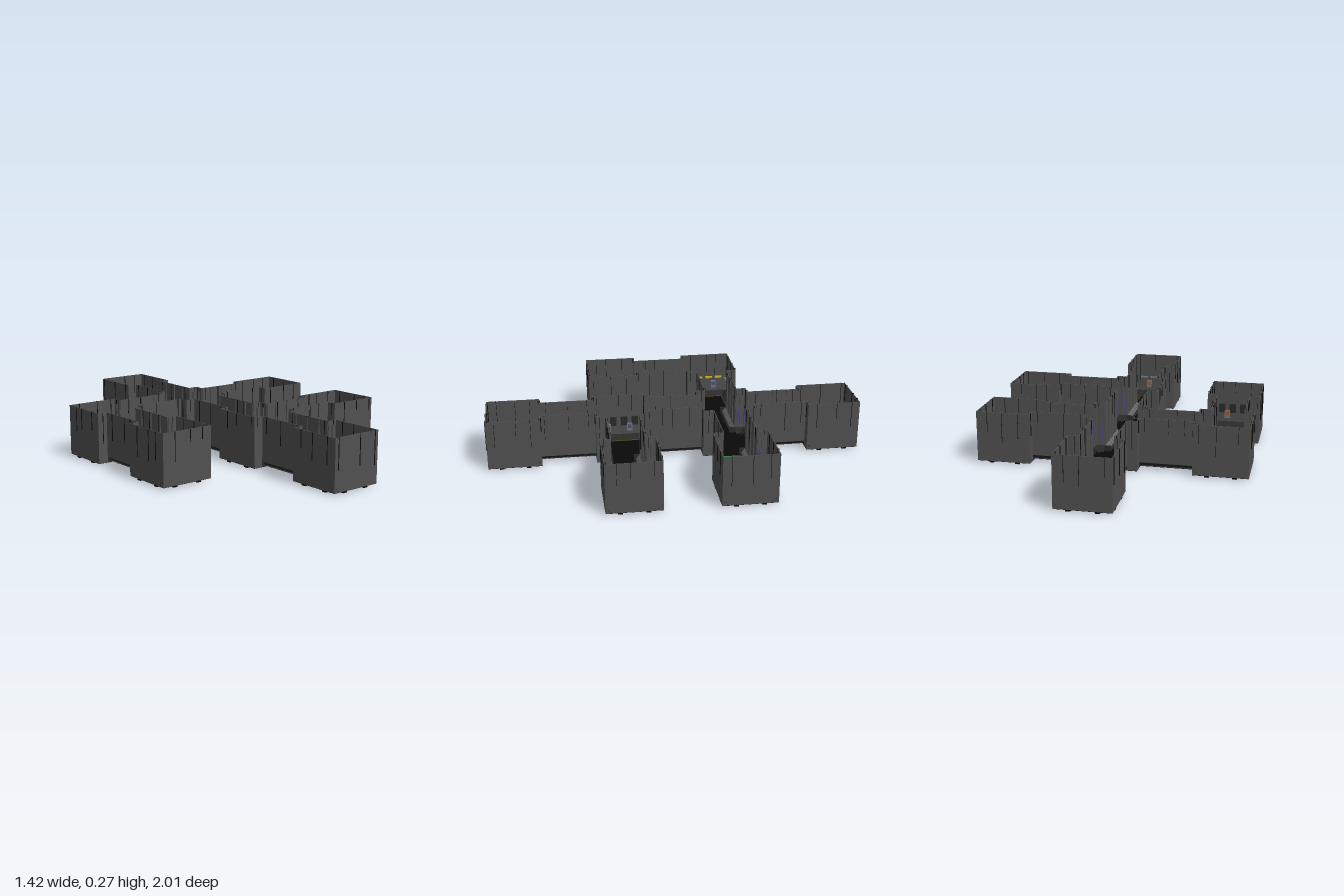
import * as THREE from 'three';

const mat = (color) => new THREE.MeshStandardMaterial({ color, side: THREE.DoubleSide, flatShading: true });
const M = {
  wall: mat(0x505050), floor: mat(0x090909), skirt: mat(0x2a2a2a), grate: mat(0x6a6a6a),
  black: mat(0x0c0c0c), yellow: mat(0xc9a21a), green: mat(0x2f8a48), steel: mat(0x6f7a74),
  violet: mat(0x4a4a88), orange: mat(0xa8562a), trim: mat(0x6b5518),
};
const HALF = 0.142;      // room half width
const HALL = 0.09;       // corridor half width at the walls
const HALL_FLOOR = 0.056;
const FLOOR_Y = 0.01, SKIRT_Y = 0.04, TOP = 0.275;
const PX = 0.564, P1 = 0.286, P2 = 0.858;   // room centres

let seed = 7;
const rand = () => (seed = (seed * 16807) % 2147483647) / 2147483647;

function box(parent, name, material, w, h, d, x, y, z) {
  const m = new THREE.Mesh(new THREE.BoxGeometry(w, h, d), material);
  m.name = name;
  m.position.set(x, y, z);
  parent.add(m);
  return m;
}

// thin plate leaning from the foot of a wall in to the floor
function slope(parent, name, material, w, x, zTop, zFoot, lift = 0) {
  const dz = zTop - zFoot, dy = SKIRT_Y - FLOOR_Y;
  const m = box(parent, name, material, w, 0.002, Math.hypot(dz, dy), x, (SKIRT_Y + FLOOR_Y) / 2 + lift, (zTop + zFoot) / 2);
  m.rotation.x = -Math.atan2(dy, dz);
}

// narrow fins hanging from the wall top, standing off both faces
function fins(parent, count, x0, x1, z) {
  for (let i = 0; i < count; i++) {
    const h = 0.05 + rand() * 0.12;
    const x = x0 + (x1 - x0) * (i + 0.2 + 0.6 * rand()) / count;
    box(parent, 'wallFin', M.black, 0.0016, h, 0.012, x, TOP - h / 2, z);
  }
}

// one side of a room; local +z points outwards
function roomSide(room, k, door, rail) {
  const side = new THREE.Group();
  side.name = door ? 'doorSide' : 'closedSide';
  side.rotation.y = k * Math.PI / 2;
  room.add(side);
  const pieces = door ? [[-HALF, -HALL], [HALL, HALF]] : [[-HALF, HALF]];
  for (const [a, b] of pieces) {
    const w = b - a, x = (a + b) / 2;
    box(side, 'roomWall', M.wall, w, TOP - FLOOR_Y, 0.004, x, (TOP + FLOOR_Y) / 2, HALF - 0.002);
    slope(side, 'roomSkirt', M.skirt, w, x, HALF - 0.004, 0.11);
    fins(side, door ? 1 : 3, a, b, HALF - 0.002);
  }
  if (door) {
    // jambs and pipes beside the opening
    for (const s of [-1, 1]) {
      box(side, 'doorJamb', M.skirt, HALL - HALL_FLOOR, SKIRT_Y - FLOOR_Y, 0.012, s * (HALL + HALL_FLOOR) / 2, (SKIRT_Y + FLOOR_Y) / 2, HALF - 0.006);
      box(side, 'doorPipe', M.violet, 0.006, 0.09, 0.006, s * 0.104, 0.12, HALF - 0.008);
      box(side, 'doorPlate', M.wall, 0.012, 0.2, 0.006, s * 0.116, 0.15, HALF - 0.007);
    }
    return;
  }
  box(side, 'floorStripe', M.trim, 0.22, 0.002, 0.003, 0, FLOOR_Y + 0.002, 0.108);
  // broken rail and wall equipment
  for (let i = 0; i < 4; i++) {
    const x = -0.09 + i * 0.06;
    if (rail) box(side, 'wallRail', rail, 0.042, 0.008, 0.016, x, 0.13, HALF - 0.012);
    else box(side, 'wallPanel', M.skirt, 0.036, 0.05, 0.008, x, 0.12, HALF - 0.008);
  }
  for (const s of [-1, 1]) {
    box(side, 'console', M.steel, 0.03, 0.045, 0.012, s * 0.06, 0.085, HALF - 0.01);
    box(side, 'consoleScreen', s > 0 ? M.orange : M.violet, 0.02, 0.02, 0.003, s * 0.06, 0.09, HALF - 0.017);
    box(side, 'footing', M.black, 0.024, 0.009, 0.012, s * 0.07, 0.0055, HALF - 0.008);
  }
}

function makeRoom(x, z, doors, rails) {
  const room = new THREE.Group();
  room.name = 'room';
  room.position.set(x, 0, z);
  box(room, 'roomFloor', M.floor, 2 * HALF - 0.002, 0.003, 2 * HALF - 0.002, 0, FLOOR_Y, 0);
  for (let k = 0; k < 4; k++) roomSide(room, k, doors.includes(k), rails[k]);
  return room;
}

// green circuit marking let into the floor, seen from both faces
function floorMarking(hall) {
  const bar = (w, d, x, z) => box(hall, 'floorMarking', M.green, w, 0.009, d, x, FLOOR_Y, z);
  const t = 0.005;
  for (const s of [-1, 1]) {
    bar(t, 2 * HALL_FLOOR, s * 0.109, 0);
    bar(0.05, t, s * 0.084, 0);
    for (const e of [-1, 1]) {
      bar(t, 0.05, s * 0.037 + e * 0.02, 0);
      bar(0.042, t, s * 0.037, e * 0.024);
    }
  }
  const ring = new THREE.Mesh(new THREE.TorusGeometry(0.012, 0.003, 4, 8), M.green);
  ring.name = 'markingRing';
  ring.rotation.x = Math.PI / 2;
  ring.position.y = FLOOR_Y;
  ring.scale.z = 1.5;
  hall.add(ring);
}

// corridor running along local x
function makeHall(x, z, length, alongZ, marked) {
  const hall = new THREE.Group();
  hall.name = 'corridor';
  hall.position.set(x, 0, z);
  if (alongZ) hall.rotation.y = Math.PI / 2;
  box(hall, 'corridorFloor', M.floor, length, 0.003, 2 * HALL_FLOOR, 0, FLOOR_Y, 0);
  for (const k of [0, 1]) {
    const side = new THREE.Group();
    side.name = 'corridorSide';
    side.rotation.y = k * Math.PI;
    hall.add(side);
    box(side, 'corridorWall', M.wall, length, TOP - SKIRT_Y, 0.004, 0, (TOP + SKIRT_Y) / 2, HALL - 0.002);
    slope(side, 'corridorSkirt', M.skirt, length, 0, HALL, HALL_FLOOR);
    fins(side, 3, -length / 2, length / 2, HALL - 0.002);
    const n = 7, step = length / n;
    for (let i = 0; i < n; i++) {
      const px = (i - (n - 1) / 2) * step;
      slope(side, 'skirtGrate', M.grate, step * 0.86, px, HALL - 0.004, HALL_FLOOR + 0.004, 0.0018);
      if (i % 2) box(side, 'wallRib', M.wall, 0.008, TOP - SKIRT_Y - 0.01, 0.006, px, (TOP + SKIRT_Y) / 2, HALL - 0.006);
    }
  }
  if (marked) floorMarking(hall);
  return hall;
}

export function createModel() {
  const model = new THREE.Group();
  model.name = 'roomComplex';
  const Y = M.yellow, S = M.steel;
  // x, z, door sides (0 front, 1 left, 2 back, 3 right), rails by side
  const rooms = [
    [0, -P2, [0], { 1: Y, 2: Y }],
    [0, -P1, [0, 1, 2, 3], {}],
    [-PX, -P1, [0, 1], { 2: S, 3: Y }],
    [PX, -P1, [3], { 2: S }],
    [-PX, P1, [2], {}],
    [0, P1, [0, 1, 2], {}],
    [PX, P1, [3], { 0: Y, 1: Y }],
    [0, P2, [2], { 0: S }],
  ];
  for (const r of rooms) model.add(makeRoom(...r));

  // x, z, length, runs along z, marked floor
  const lz = P2 - P1 - 2 * HALF, lx = PX - 2 * HALF;
  const halls = [
    [0, -(P1 + P2) / 2, lz, true, false],
    [0, 0, lz, true, false],
    [0, (P1 + P2) / 2, lz, true, true],
    [-PX, 0, lz, true, true],
    [-PX / 2, -P1, lx, false, false],
    [PX / 2, -P1, lx, false, true],
    [PX / 2, P1, lx, false, false],
  ];
  for (const h of halls) model.add(makeHall(...h));
  return model;
}
